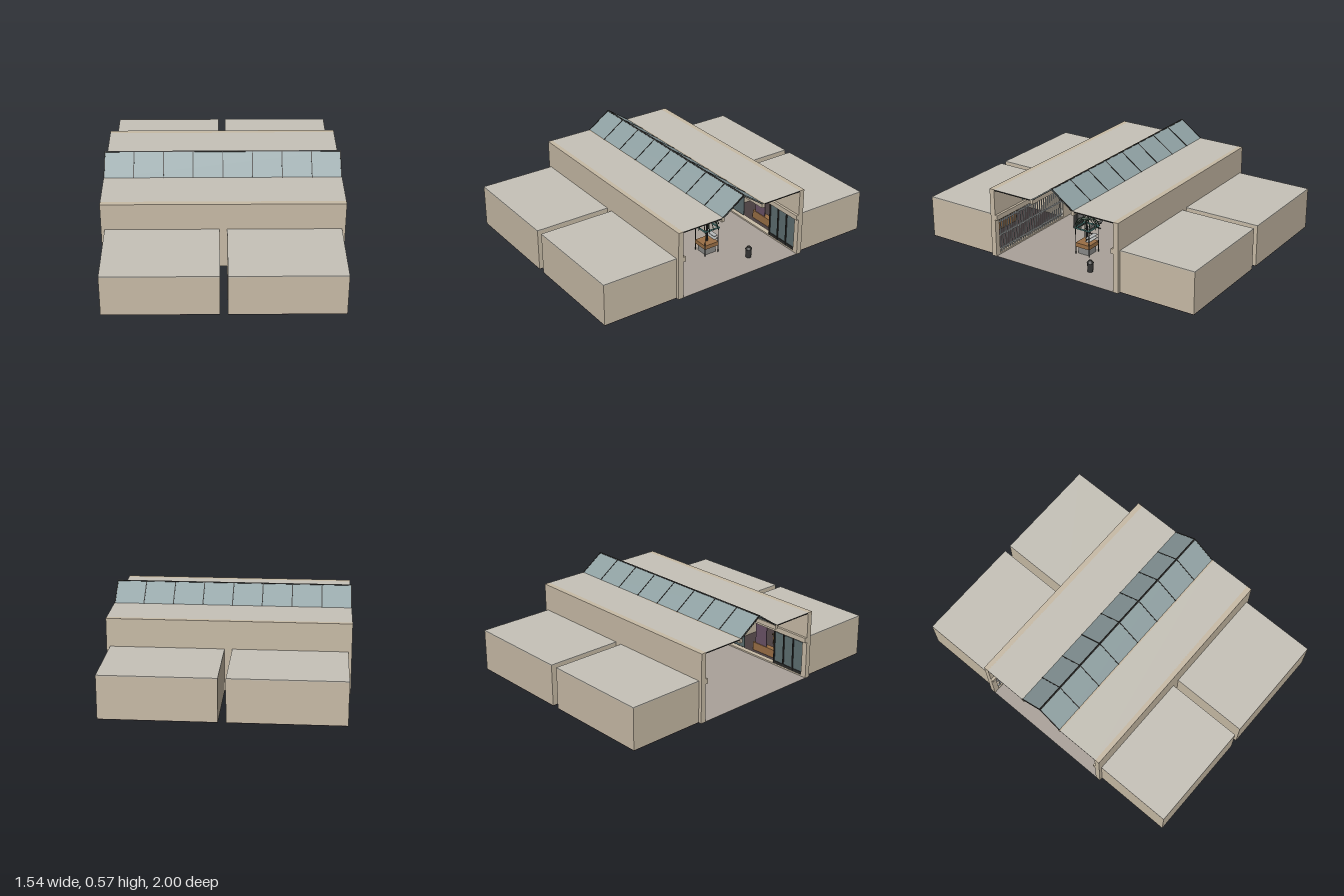
import * as THREE from 'three';

const paint = (color, side = THREE.FrontSide) => new THREE.MeshStandardMaterial({ color, side, flatShading: true });
const M = {
  wall: paint(0xc8bba6), roof: paint(0xc6c2b8, THREE.DoubleSide), floor: paint(0xaaa29a), under: paint(0x4c4c46),
  tile: paint(0x5c5c5c), frame: paint(0x2c2c2a), glass: paint(0x8fa0a2, THREE.DoubleSide), pane: paint(0x5d6e70),
  shopFloor: paint(0x4a3f40), wood: paint(0x9a6f45), brown: paint(0x54432e), plum: paint(0x6a5266), bars: paint(0xb8bcbc),
  sign: paint(0x5f9a98), leaf: paint(0x3c5a48, THREE.DoubleSide), stone: paint(0x8a8a88), dark: paint(0x333333),
};
const HX = 0.768; // half length of the arcade

// box given by its minimum and maximum corners
function box(parent, name, mat, x0, x1, y0, y1, z0, z1) {
  const mesh = new THREE.Mesh(new THREE.BoxGeometry(x1 - x0, y1 - y0, z1 - z0), mat);
  mesh.position.set((x0 + x1) / 2, (y0 + y1) / 2, (z0 + z1) / 2);
  mesh.name = name;
  parent.add(mesh);
  return mesh;
}
function group(parent, name, x = 0, z = 0) {
  const g = new THREE.Group();
  g.name = name;
  g.position.set(x, 0, z);
  parent.add(g);
  return g;
}
function cylinder(parent, name, mat, rTop, rBottom, y0, y1, x = 0, z = 0, sides = 10) {
  const mesh = new THREE.Mesh(new THREE.CylinderGeometry(rTop, rBottom, y1 - y0, sides), mat);
  mesh.position.set(x, (y0 + y1) / 2, z);
  mesh.name = name;
  parent.add(mesh);
}

// one shop room behind the wall, open toward the arcade
function shop(parent, x0, x1) {
  const g = group(parent, 'shop'), t = 0.006;
  box(g, 'shopFloor', M.shopFloor, x0, x1, 0, 0.004, -1, -0.485);
  box(g, 'shopRoof', M.roof, x0, x1, 0.274, 0.28, -1, -0.485);
  box(g, 'shopBackWall', M.wall, x0, x1, 0.004, 0.274, -1, -1 + t);
  box(g, 'shopSideWall', M.wall, x0, x0 + t, 0.004, 0.274, -1 + t, -0.485);
  box(g, 'shopSideWall', M.wall, x1 - t, x1, 0.004, 0.274, -1 + t, -0.485);
  const cx = (x0 + x1) / 2;
  // shelves along the back wall
  for (let i = 0; i < 3; i++) {
    const sx = x0 + 0.06 + i * 0.21;
    box(g, 'shelfBack', M.plum, sx, sx + 0.17, 0.004, 0.2, -0.985, -0.975);
    for (let k = 0; k < 4; k++) box(g, 'shelfBoard', M.wood, sx, sx + 0.17, 0.02 + k * 0.055, 0.026 + k * 0.055, -0.975, -0.93);
  }
  box(g, 'counter', M.wood, cx - 0.13, cx + 0.13, 0.004, 0.07, -0.75, -0.69);
  box(g, 'counterTop', M.brown, cx - 0.14, cx + 0.14, 0.07, 0.078, -0.755, -0.685);
}

// shop front: dark glass panes beside an open doorway
function glassFront(parent, x0, x1) {
  const g = group(parent, 'glassFront'), n = 3, w = 0.082;
  for (let i = 0; i < n; i++) {
    const a = x1 - (i + 1) * w;
    box(g, 'pane', M.pane, a + 0.004, a + w - 0.004, 0.03, 0.238, -0.462, -0.457);
    box(g, 'mullion', M.frame, a - 0.004, a + 0.004, 0.012, 0.25, -0.466, -0.45);
  }
  box(g, 'kickRail', M.frame, x1 - n * w, x1, 0.012, 0.03, -0.466, -0.452);
  box(g, 'pane', M.pane, x0, x0 + 0.16, 0.03, 0.238, -0.462, -0.457);
  box(g, 'displayPanel', M.plum, x0 + 0.2, x0 + 0.3, 0.05, 0.22, -0.53, -0.525);
  box(g, 'displayStand', M.wood, x0 + 0.18, x1 - 0.26, 0.004, 0.06, -0.56, -0.52);
}

// shop front: closed by a grille of upright bars
function grilleFront(parent, x0, x1) {
  const g = group(parent, 'grilleFront'), n = 30;
  for (let i = 0; i <= n; i++) {
    const x = x0 + ((x1 - x0) * i) / n;
    box(g, 'grilleBar', M.bars, x - 0.003, x + 0.003, 0.012, 0.25, -0.462, -0.456);
  }
  for (const y of [0.03, 0.125, 0.22]) box(g, 'grilleRail', M.bars, x0, x1, y, y + 0.008, -0.464, -0.455);
}

// one side of the arcade, at -z
function side() {
  const g = new THREE.Group();
  g.name = 'arcadeSide';
  const outline = new THREE.Shape([[-HX, 0], [HX, 0], [HX, 0.463], [-HX, 0.463]].map(p => new THREE.Vector2(...p)));
  for (const s of [-1, 1]) {
    const pts = [[0.045, 0.012], [0.73, 0.012], [0.73, 0.25], [0.045, 0.25]].map(p => new THREE.Vector2(s * p[0], p[1]));
    outline.holes.push(new THREE.Path(pts));
  }
  const wall = new THREE.Mesh(new THREE.ExtrudeGeometry(outline, { depth: 0.035, bevelEnabled: false }), M.wall);
  wall.name = 'arcadeWall';
  wall.position.z = -0.485;
  g.add(wall);
  shop(g, 0.024, 0.746);
  shop(g, -0.746, -0.024);
  glassFront(g, 0.045, 0.73);
  grilleFront(g, -0.73, -0.045);
  box(g, 'ledge', M.wall, -HX, HX, 0.255, 0.288, -0.45, -0.433);
  for (const s of [-1, 1]) {
    box(g, 'signBoard', M.sign, s * 0.39 - 0.1, s * 0.39 + 0.1, 0.3, 0.34, -0.45, -0.444);
    box(g, 'doorMat', M.brown, s * 0.38 - 0.3, s * 0.38 + 0.3, 0, 0.003, -0.52, -0.485);
  }

  // thin flat roof with ceiling tiles below
  const roof = new THREE.Mesh(new THREE.PlaneGeometry(2 * HX, 0.3), M.roof);
  roof.name = 'flatRoof';
  roof.rotation.x = -Math.PI / 2;
  roof.position.set(0, 0.463, -0.305);
  g.add(roof);
  const nx = 20, nz = 4, tw = (2 * HX) / nx, td = 0.285 / nz;
  box(g, 'ceilingBack', M.frame, -HX, HX, 0.457, 0.462, -0.45, -0.165);
  for (let i = 0; i < nx; i++) for (let j = 0; j < nz; j++) {
    const x = -HX + i * tw, z = -0.45 + j * td;
    box(g, 'ceilingTile', M.tile, x + 0.002, x + tw - 0.002, 0.454, 0.457, z + 0.002, z + td - 0.002);
  }
  box(g, 'roofBeam', M.wall, -HX, HX, 0.435, 0.463, -0.166, -0.145);

  // skylight slope: glass with bars, hinged at the ridge
  const slope = group(g, 'skylightSlope');
  slope.position.y = 0.571;
  slope.rotation.x = -Math.atan2(0.109, 0.157);
  const len = Math.hypot(0.109, 0.157);
  box(slope, 'skylightGlass', M.glass, -HX, HX, -0.003, 0, -len, 0);
  for (let i = 0; i <= 8; i++) {
    const x = THREE.MathUtils.clamp(-HX + (i * HX) / 4, -HX + 0.003, HX - 0.003);
    box(slope, 'skylightBar', M.frame, x - 0.003, x + 0.003, -0.007, 0.002, -len, 0);
  }
  box(slope, 'ridgeBar', M.frame, -HX, HX, -0.007, 0.003, -0.006, 0);
  return g;
}

// planter with a drooping palm, inside a wooden kiosk frame
function kiosk(parent, x) {
  const g = group(parent, 'kiosk', x, 0);
  box(g, 'kioskBase', M.stone, -0.04, 0.04, 0.002, 0.05, -0.04, 0.04);
  box(g, 'kioskCounter', M.wood, -0.053, 0.053, 0.05, 0.078, -0.053, 0.053);
  for (const sx of [-1, 1]) for (const sz of [-1, 1]) cylinder(g, 'kioskPost', M.frame, 0.003, 0.003, 0.002, 0.18, sx * 0.052, sz * 0.052, 6);
  for (const s of [-1, 1]) {
    box(g, 'kioskTopRail', M.sign, -0.06, 0.06, 0.178, 0.186, s * 0.054 - 0.004, s * 0.054 + 0.004);
    box(g, 'kioskTopRail', M.sign, s * 0.054 - 0.004, s * 0.054 + 0.004, 0.178, 0.186, -0.05, 0.05);
  }
  for (const y of [0.1, 0.122]) box(g, 'kioskShelf', M.bars, -0.05, 0.05, y, y + 0.003, -0.05, -0.02);
  cylinder(g, 'palmTrunk', M.dark, 0.005, 0.007, 0.05, 0.23);
  for (let i = 0; i < 14; i++) {
    const a = (i / 14) * Math.PI * 2, r = 0.07 + 0.012 * (i % 2);
    const at = (d, y) => new THREE.Vector3(Math.cos(a) * d, y, Math.sin(a) * d);
    const curve = new THREE.CatmullRomCurve3([at(0, 0.225), at(r * 0.4, 0.242), at(r * 0.8, 0.22), at(r, 0.185)]);
    const frond = new THREE.Mesh(new THREE.TubeGeometry(curve, 8, 0.003, 4), M.leaf);
    frond.name = 'palmFrond';
    g.add(frond);
  }
}

function bench(parent, x, z) {
  const g = group(parent, 'bench', x, z);
  box(g, 'benchSeat', M.stone, -0.07, 0.07, 0.036, 0.042, -0.018, 0.02);
  box(g, 'benchBack', M.stone, -0.07, 0.07, 0.048, 0.066, -0.024, -0.02);
  for (const s of [-1, 1]) {
    box(g, 'benchLeg', M.dark, s * 0.05 - 0.003, s * 0.05 + 0.003, 0.004, 0.036, -0.004, 0.004);
    box(g, 'benchFoot', M.dark, s * 0.05 - 0.004, s * 0.05 + 0.004, 0.002, 0.006, -0.018, 0.018);
    box(g, 'benchBracket', M.dark, s * 0.05 - 0.003, s * 0.05 + 0.003, 0.038, 0.062, -0.02, -0.016);
  }
}

export function createModel() {
  const model = new THREE.Group();
  model.name = 'shoppingArcade';
  box(model, 'floorUnderside', M.under, -HX, HX, 0, 0.001, -0.485, 0.485);
  box(model, 'arcadeFloor', M.floor, -HX, HX, 0.001, 0.002, -0.485, 0.485);
  const back = side(), front = side();
  front.rotation.y = Math.PI;
  model.add(back, front);

  kiosk(model, 0.4);
  bench(model, 0.1, 0.155);

  // directory board
  const board = group(model, 'directoryBoard', 0.1, 0.28);
  box(board, 'boardBody', M.dark, -0.04, 0.04, 0.002, 0.17, -0.014, 0.014);
  box(board, 'boardPanel', M.stone, -0.033, 0.033, 0.05, 0.16, -0.016, 0.016);

  // litter bin
  const bin = group(model, 'litterBin', 0.615, -0.175);
  cylinder(bin, 'binBody', M.dark, 0.02, 0.018, 0.002, 0.06, 0, 0, 14);
  cylinder(bin, 'binLid', M.frame, 0.012, 0.023, 0.062, 0.078, 0, 0, 14);

  // thin-stemmed plant
  const plant = group(model, 'plant', 0.1, -0.225);
  cylinder(plant, 'plantPot', M.stone, 0.01, 0.008, 0.002, 0.015);
  for (let i = 0; i < 6; i++) {
    const a = (i / 6) * Math.PI * 2, c = Math.cos(a), s = Math.sin(a);
    const curve = new THREE.CatmullRomCurve3([[0, 0.012], [0.008, 0.05], [0.02, 0.086]].map(([r, y]) => new THREE.Vector3(c * r, y, s * r)));
    const stem = new THREE.Mesh(new THREE.TubeGeometry(curve, 6, 0.0012, 4), M.leaf);
    stem.name = 'plantStem';
    plant.add(stem);
  }
  return model;
}
